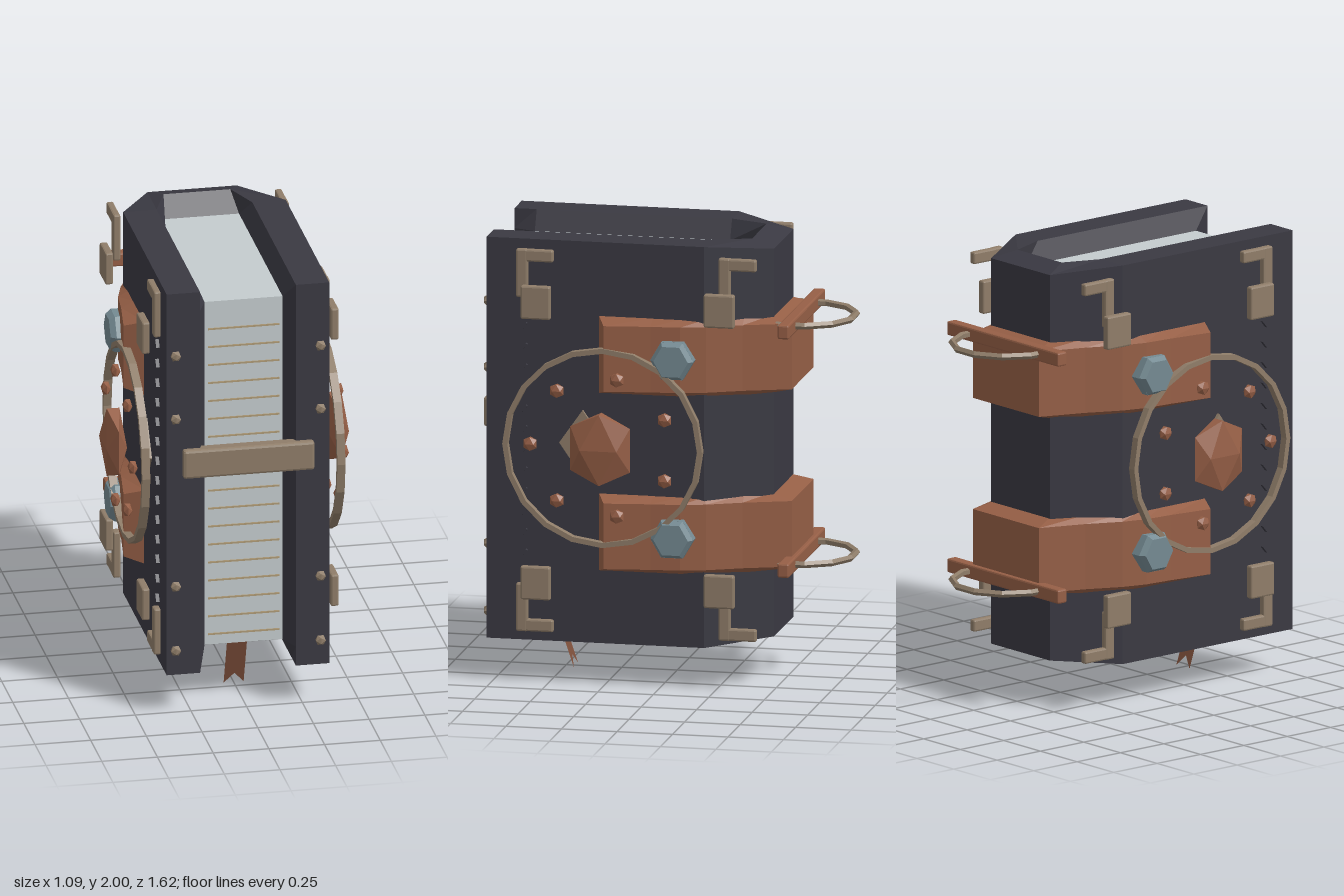
import * as THREE from 'three';
import { RoundedBoxGeometry } from 'three/addons/geometries/RoundedBoxGeometry.js';

const mat = (name, color, side = THREE.FrontSide) => {
  const m = new THREE.MeshStandardMaterial({ color, side, flatShading: true });
  m.name = name;
  return m;
};

// Skin a solid through equal-length cross-section loops, capped at both ends.
function loft(stations) {
  const p = [];
  const n = stations[0].length;
  for (let s = 0; s < stations.length - 1; s++) {
    for (let i = 0; i < n; i++) {
      const j = (i + 1) % n;
      const a = stations[s][i], b = stations[s][j];
      const d = stations[s + 1][i], c = stations[s + 1][j];
      p.push(...a, ...d, ...c, ...a, ...c, ...b);
    }
  }
  const first = stations[0], last = stations[stations.length - 1];
  for (let i = 1; i < n - 1; i++) {
    p.push(...first[0], ...first[i], ...first[i + 1]);
    p.push(...last[0], ...last[i + 1], ...last[i]);
  }
  const g = new THREE.BufferGeometry();
  g.setAttribute('position', new THREE.Float32BufferAttribute(p, 3));
  g.computeVertexNormals();
  return g;
}

// Continue stations of the left half around the spine to the right half.
const wrap = (half) => [
  ...half,
  ...half.slice().reverse().map((loop) => loop.map(([x, y, z]) => [-x, y, z])),
];

export function createModel() {
  const model = new THREE.Group();
  model.name = 'strappedBook';

  const cover = mat('darkCover', 0x3a3942);
  const paper = mat('paper', 0xc4ccce);
  const pageEdge = mat('pageEdge', 0xb09c78);
  const leather = mat('copperLeather', 0x965f46);
  const brass = mat('agedBrass', 0x8f7d69);
  const steel = mat('blueSteel', 0x748a92);
  const cloth = mat('ribbonCloth', 0x80503c, THREE.DoubleSide);

  const add = (name, geo, material, x = 0, y = 0, z = 0, parent = model) => {
    const m = new THREE.Mesh(geo, material);
    m.name = name;
    m.position.set(x, y, z);
    parent.add(m);
    return m;
  };
  // Bevelled box given by its extents
  const block = (name, material, x0, x1, y0, y1, z0, z1, parent = model, bevel = 0.008) =>
    add(name, new RoundedBoxGeometry(x1 - x0, y1 - y0, z1 - z0, 1, bevel), material,
      (x0 + x1) / 2, (y0 + y1) / 2, (z0 + z1) / 2, parent);

  // Cover: outer edge, rim and the deep edge that meets the pages
  const coverLoop = (ox, oz, rx, rz, dx, dz, drop = 0) => [
    [ox, 0.19 + drop, oz], [ox, 2 - drop, oz], [rx, 2, rz],
    [dx, 1.91, dz], [dx, 0.28, dz], [rx, 0.19, rz],
  ];
  add('cover', loft(wrap([
    coverLoop(0.365, 0.78, 0.215, 0.78, 0.215, 0.78),
    coverLoop(0.365, 0.68, 0.215, 0.68, 0.175, 0.68),
    coverLoop(0.365, -0.2, 0.215, -0.2, 0.175, -0.2),
    coverLoop(0.2, -0.48, 0.15, -0.37, 0.175, -0.3, 0.03),
  ])), cover);

  // Page block with lined fore edge
  add('pages', new THREE.BoxGeometry(0.352, 1.63, 0.985), paper, 0, 1.095, 0.1875);
  for (let i = 0; i < 18; i++) {
    add('pageLine', new THREE.BoxGeometry(0.32, 0.008, 0.008), pageEdge, 0, 0.33 + i * 0.0853, 0.681);
  }

  // Clasp and front studs
  block('clasp', brass, -0.295, 0.295, 1.125, 1.26, 0.745, 0.81, model, 0.012);
  const studGeo = new THREE.IcosahedronGeometry(0.026, 0);
  for (const x of [-0.325, 0.325]) {
    for (const y of [0.305, 0.61, 1.405, 1.705]) {
      add('frontStud', studGeo, brass, x, y, 0.785).scale.z = 0.7;
    }
  }

  // Ribbon with a notched end, leaning forward as it rises
  const ribbonShape = new THREE.Shape([
    [-0.045, 0.285], [-0.045, 0], [0, 0.05], [0.045, 0], [0.045, 0.285],
  ].map(([x, y]) => new THREE.Vector2(x, y)));
  const ribbonGeo = new THREE.ShapeGeometry(ribbonShape);
  const rp = ribbonGeo.attributes.position;
  for (let i = 0; i < rp.count; i++) rp.setZ(i, 0.456 + 0.34 * rp.getY(i));
  ribbonGeo.computeVertexNormals();
  add('ribbon', ribbonGeo, cloth);

  // Straps around the spine, each with a bar and a half ring
  const strapLoop = (y) => ([ox, oz, ix, iz]) => [
    [ix, y - 0.175, iz], [ox, y - 0.148, oz], [ox, y + 0.148, oz], [ix, y + 0.175, iz],
  ];
  const strapPath = [
    [0.45, 0.235, 0.36, 0.275], [0.42, 0.03, 0.36, 0.03], [0.408, -0.1, 0.36, -0.1],
    [0.375, -0.21, 0.35, -0.2], [0.302, -0.36, 0.265, -0.36], [0.225, -0.565, 0.19, -0.47],
  ];
  for (const [y, hardwareY] of [[1.493, 1.635], [0.692, 0.558]]) {
    add('strap', loft(wrap(strapPath.map(strapLoop(y)))), leather);
    block('spineBar', leather, -0.38, 0.38, hardwareY - 0.032, hardwareY + 0.032, -0.585, -0.533);
    const ring = add('spineRing', new THREE.TorusGeometry(0.242, 0.016, 5, 7, Math.PI * 7 / 6), brass,
      0, hardwareY, -0.56);
    ring.rotation.set(-Math.PI / 2, 0, -Math.PI / 12);
  }

  // Side fittings, the same on both faces
  const ringGeo = new THREE.LatheGeometry([
    [0.427, -0.018], [0.45, -0.018], [0.45, 0.018], [0.427, 0.018], [0.427, -0.018],
  ].map(([r, h]) => new THREE.Vector2(r, h)), 20);
  const hexGeo = new THREE.CylinderGeometry(0.078, 0.097, 0.025, 6);
  const hexBase = new THREE.CylinderGeometry(0.097, 0.097, 0.06, 6);
  const gemGeo = new THREE.IcosahedronGeometry(0.188, 0).scale(0.29, 1, 0.84);
  const sideStud = new THREE.IcosahedronGeometry(0.035, 0).scale(0.65, 1, 1);
  const diamondShape = new THREE.Shape([
    [-0.105, 0], [0, -0.15], [0.105, 0], [0, 0.15],
  ].map(([x, y]) => new THREE.Vector2(x, y)));
  const diamondGeo = new THREE.ExtrudeGeometry(diamondShape, { depth: 0.02, bevelEnabled: false });

  for (const s of [1, -1]) {
    const side = new THREE.Group();
    side.name = s > 0 ? 'leftFittings' : 'rightFittings';
    model.add(side);
    const put = (name, geo, material, x, y, z) => add(name, geo, material, s * x, y, z, side);
    const plate = (name, x0, x1, y0, y1, z0, z1) =>
      block(name, brass, Math.min(s * x0, s * x1), Math.max(s * x0, s * x1), y0, y1, z0, z1, side);

    put('sideRing', ringGeo, brass, 0.438, 1.09, 0.24).rotation.z = -s * Math.PI / 2;
    put('gem', gemGeo, leather, 0.498, 1.095, 0.24);
    put('diamond', diamondGeo, brass, s > 0 ? 0.36 : 0.38, 1.09, 0.345).rotation.y = Math.PI / 2;
    // Studs inside the ring
    for (const [z, y] of [[0.44, 1.345], [0.56, 1.1], [0.44, 0.85], [-0.045, 1.235],
      [-0.045, 0.96], [0.17, 1.405], [0.17, 0.79]]) {
      put('sideStud', sideStud, leather, 0.474, y, z);
    }
    // Hexagonal bolts on the straps
    for (const y of [1.495, 0.69]) {
      put('bolt', hexBase, steel, 0.408, y, -0.07).rotation.set(0, 0, -s * Math.PI / 2);
      put('boltHead', hexGeo, steel, 0.45, y, -0.07).rotation.set(0, 0, -s * Math.PI / 2);
    }
    // Angled corner brackets with raised square plates
    for (const top of [true, false]) {
      const span = (a, b) => (top ? [a, b] : [2.19 - b, 2.19 - a]);
      for (const [v0, v1, h0, h1, q0, q1] of [
        [0.59, 0.642, 0.475, 0.642, 0.478, 0.612],
        [-0.322, -0.27, -0.44, -0.27, -0.35, -0.213],
      ]) {
        plate('bracketUpright', 0.362, 0.395, ...span(1.74, 1.958), v0, v1);
        plate('bracketArm', 0.362, 0.394, ...span(1.902, 1.957), h0, h1);
        plate('bracketPlate', 0.406, 0.442, ...span(1.653, 1.803), q0, q1);
      }
    }
    // Slanted stitches near the front edge
    for (let i = 0; i < 14; i++) {
      put('stitch', new THREE.BoxGeometry(0.016, 0.04, 0.008), cover, 0.373, 0.49 + i * 0.093, 0.61)
        .rotation.x = -0.7;
    }
  }
  return model;
}
